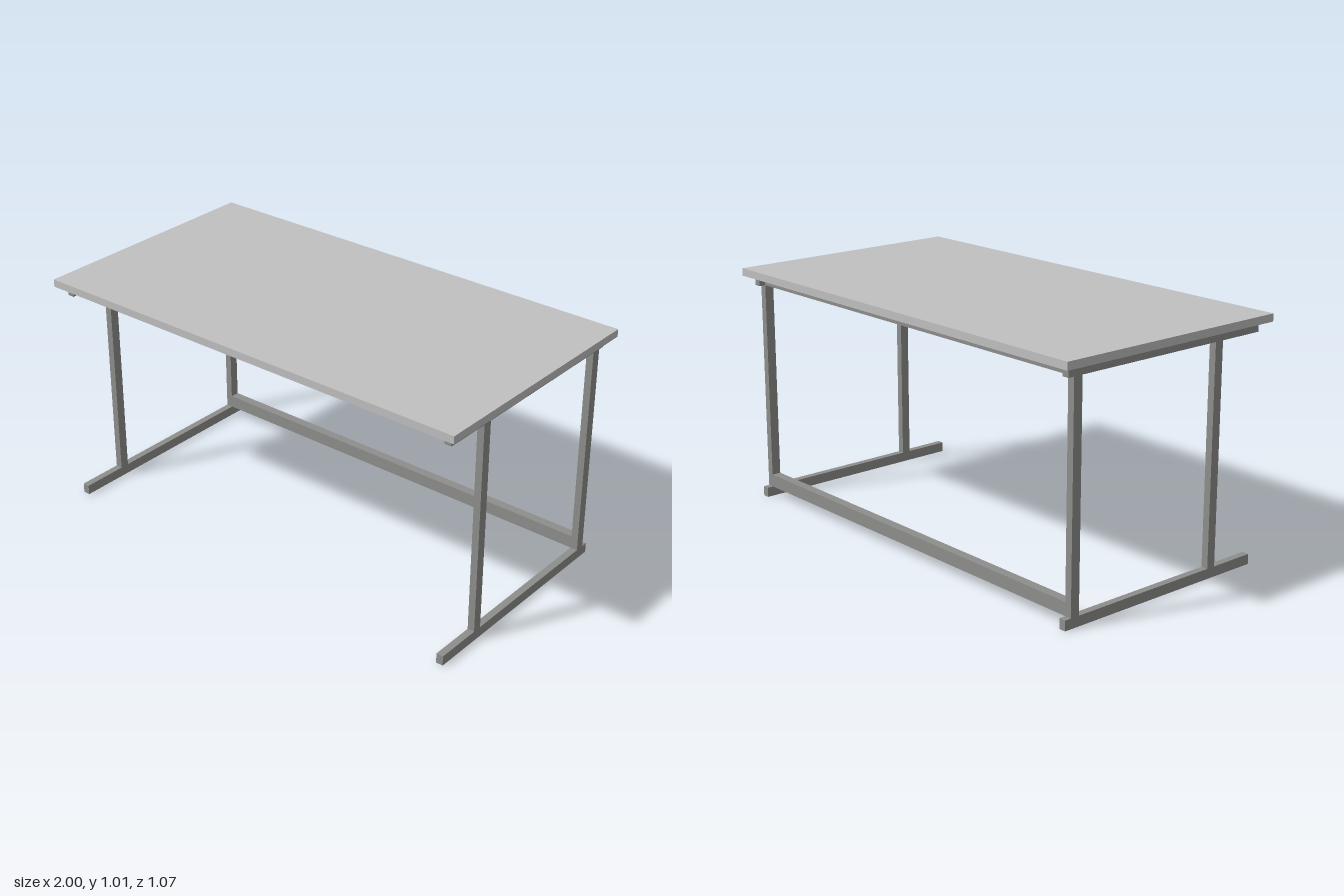
import * as THREE from 'three';

export function createModel() {
  const model = new THREE.Group();
  const topGrey = new THREE.MeshStandardMaterial({ color: 0xc0c0c0 });
  topGrey.name = 'light grey top';
  const frameGrey = new THREE.MeshStandardMaterial({ color: 0x8e8e8c });
  frameGrey.name = 'grey frame';

  // Box given by its extents along each axis
  function bar(name, [x0, x1], [y0, y1], [z0, z1], material, parent) {
    const mesh = new THREE.Mesh(new THREE.BoxGeometry(x1 - x0, y1 - y0, z1 - z0), material);
    mesh.position.set((x0 + x1) / 2, (y0 + y1) / 2, (z0 + z1) / 2);
    mesh.name = name;
    parent.add(mesh);
  }

  const inner = 0.933, outer = 0.963;
  const footTop = 0.042, railBottom = 0.943, topBottom = 0.983;
  const backLeg = [-0.466, -0.426], frontLeg = [0.256, 0.295];

  bar('tableTop', [-1, 1], [topBottom, 1.015], [-0.533, 0.533], topGrey, model);

  // Side frames: foot, two legs and a rail under the top
  for (const side of [1, -1]) {
    const frame = new THREE.Group();
    frame.name = side > 0 ? 'leftFrame' : 'rightFrame';
    const x = side > 0 ? [inner, outer] : [-outer, -inner];
    bar('foot', x, [0, footTop], [-0.494, 0.494], frameGrey, frame);
    bar('topRail', x, [railBottom, topBottom], [-0.494, 0.494], frameGrey, frame);
    bar('backLeg', x, [footTop, railBottom], backLeg, frameGrey, frame);
    bar('frontLeg', x, [footTop, railBottom], frontLeg, frameGrey, frame);
    model.add(frame);
  }

  // Cross bars between the back legs
  bar('lowerCrossBar', [-inner, inner], [footTop, 0.097], backLeg, frameGrey, model);
  bar('upperCrossBar', [-inner, inner], [railBottom, topBottom], backLeg, frameGrey, model);

  return model;
}
